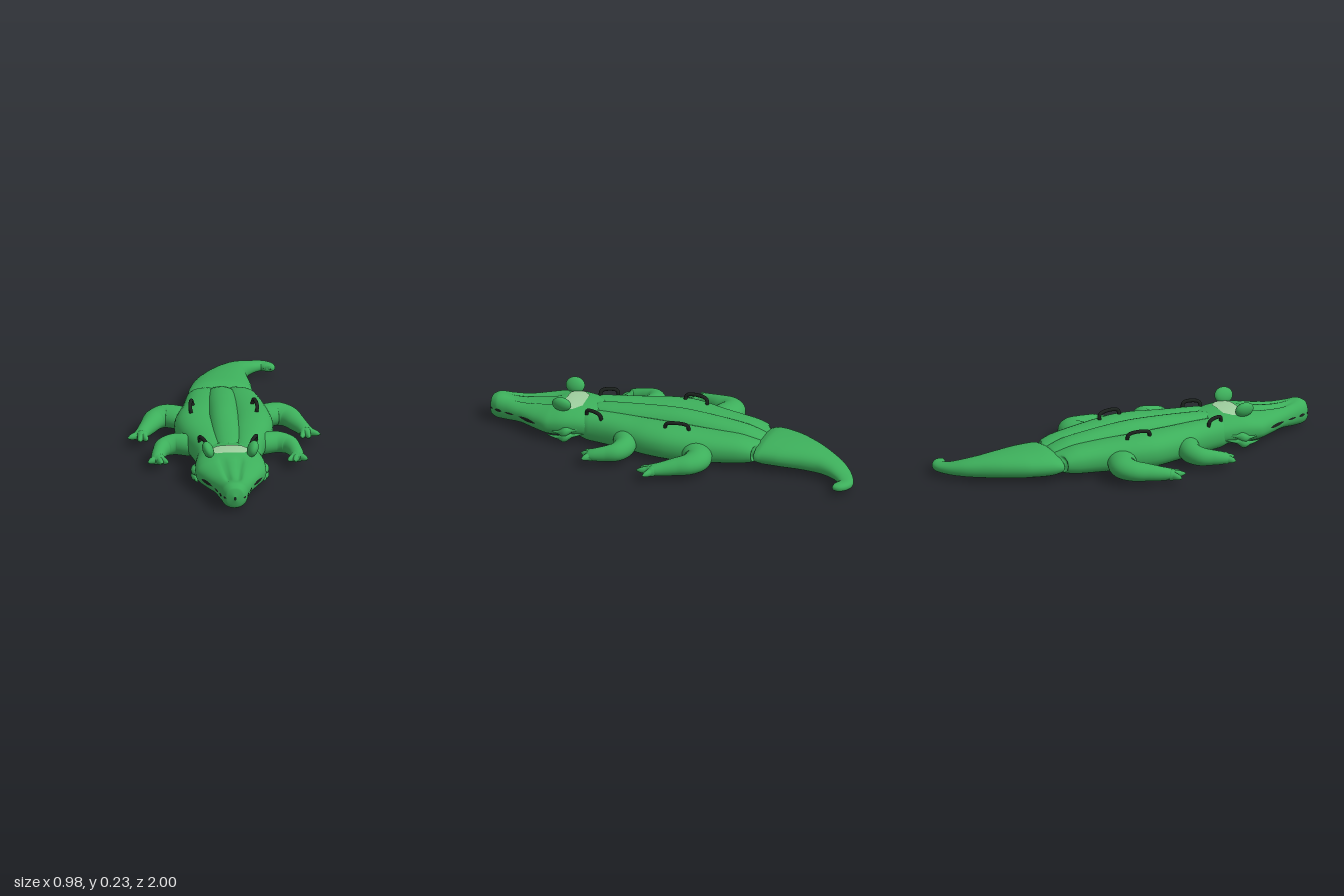
import * as THREE from 'three';

const green = new THREE.MeshStandardMaterial({ color: 0x3daf5b });
green.name = 'vinyl green';
const black = new THREE.MeshStandardMaterial({ color: 0x1b211d });
black.name = 'handle black';
const pale = new THREE.MeshStandardMaterial({ color: 0x9fcf9f });
pale.name = 'pale green';

// Inflated tube through stations [x, y, z, halfWidth, halfHeight].
// An arc and a range along the length give a thin patch over the same skin.
function inflate(stations, o = {}) {
  const { rows = 56, sides = 32, power = 1, t0 = 0, t1 = 1, arc = null, grow = 0, shape = null } = o;
  const spine = new THREE.CatmullRomCurve3(stations.map((s) => new THREE.Vector3(s[0], s[1], s[2])));
  const size = new THREE.CatmullRomCurve3(stations.map((s) => new THREE.Vector3(s[3], s[4], 0)));
  const bend = (v) => Math.sign(v) * Math.pow(Math.abs(v), power);
  const pos = [], index = [], cols = arc ? sides + 1 : sides;
  for (let i = 0; i <= rows; i++) {
    const t = t0 + (t1 - t0) * i / rows;
    const c = spine.getPoint(t), r = size.getPoint(t), d = spine.getTangent(t);
    const flat = Math.hypot(d.x, d.z) || 1;
    const rx = Math.max(r.x, 0.001) + grow, ry = Math.max(r.y, 0.001) + grow;
    const [a0, a1] = arc ? arc(i / rows) : [0, Math.PI * 2];
    for (let j = 0; j < cols; j++) {
      const a = a0 + (a1 - a0) * j / sides;
      const u = bend(Math.cos(a)) * rx;
      const p = new THREE.Vector3(c.x + u * d.z / flat, c.y + bend(Math.sin(a)) * ry, c.z - u * d.x / flat);
      if (shape) shape(p);
      pos.push(p.x, p.y, p.z);
    }
  }
  for (let i = 0; i < rows; i++) {
    for (let j = 0; j < sides; j++) {
      const k = arc ? j + 1 : (j + 1) % sides;
      const a = i * cols + j, b = i * cols + k;
      index.push(a, b, a + cols, b, b + cols, a + cols);
    }
  }
  const g = new THREE.BufferGeometry();
  g.setAttribute('position', new THREE.Float32BufferAttribute(pos, 3));
  g.setIndex(index);
  g.computeVertexNormals();
  return g;
}

export function createModel() {
  const model = new THREE.Group();
  const add = (name, geometry, material = green, parent = model) => {
    const m = new THREE.Mesh(geometry, material);
    m.name = name;
    parent.add(m);
    return m;
  };

  // Body: a raised centre chamber between two side chambers
  add('centreChamber', inflate([
    [0.01, 0.08, -0.475, 0.03, 0.02], [0.01, 0.08, -0.455, 0.07, 0.05], [0.01, 0.088, -0.36, 0.08, 0.075],
    [0.005, 0.095, -0.2, 0.085, 0.088], [0, 0.1, 0, 0.085, 0.096], [0, 0.096, 0.2, 0.085, 0.09],
    [0, 0.09, 0.36, 0.082, 0.083], [0, 0.088, 0.43, 0.07, 0.076], [0, 0.088, 0.46, 0.03, 0.04]], { power: 0.9 }));
  for (const s of [1, -1]) {
    const rim = [[-0.475, 0.14, 0.03, 0.08, 0.02], [-0.455, 0.16, 0.07, 0.08, 0.045], [-0.36, 0.185, 0.09, 0.083, 0.068],
      [-0.2, 0.215, 0.1, 0.085, 0.078], [0, 0.25, 0.11, 0.088, 0.086], [0.1, 0.24, 0.107, 0.088, 0.085],
      [0.2, 0.215, 0.098, 0.086, 0.082], [0.34, 0.18, 0.082, 0.084, 0.08], [0.44, 0.165, 0.075, 0.082, 0.076],
      [0.52, 0.14, 0.04, 0.08, 0.05]];
    add('sideChamber', inflate(rim.map(([z, edge, w, y, h]) =>
      [s * (edge - w) + (z < -0.1 ? 0.012 : 0), y, z, w, h]), { power: 0.9 }));
  }

  // Tail: wide root, curling to a rounded tip
  add('tail', inflate([
    [0.29, 0.043, -0.908, 0.002, 0.002], [0.291, 0.043, -0.917, 0.022, 0.016], [0.282, 0.043, -0.94, 0.033, 0.022],
    [0.245, 0.043, -0.963, 0.036, 0.024], [0.19, 0.048, -0.938, 0.044, 0.03], [0.135, 0.058, -0.88, 0.058, 0.042],
    [0.095, 0.066, -0.81, 0.074, 0.052], [0.062, 0.073, -0.72, 0.105, 0.061], [0.032, 0.077, -0.6, 0.145, 0.067],
    [0.015, 0.077, -0.5, 0.162, 0.066], [0.012, 0.075, -0.455, 0.163, 0.05], [0.012, 0.075, -0.435, 0.1, 0.02]],
  { rows: 80, power: 0.9 }));

  // Head: [z, half width, top, bottom], with two grooves along the snout
  const head = [[0.37, 0.1, 0.13, 0.04], [0.42, 0.155, 0.16, 0.012], [0.5, 0.168, 0.171, 0.006], [0.58, 0.178, 0.172, 0.003],
    [0.65, 0.178, 0.16, 0.003], [0.73, 0.145, 0.147, 0.01], [0.82, 0.102, 0.138, 0.018], [0.9, 0.077, 0.141, 0.012],
    [0.95, 0.066, 0.144, 0.012], [0.985, 0.045, 0.128, 0.025], [1, 0.004, 0.085, 0.07]]
    .map(([z, w, top, bottom]) => [0, (top + bottom) / 2, z, w, (top - bottom) / 2]);
  const groove = (p) => {
    if (p.y < 0.09) return;
    const along = THREE.MathUtils.smoothstep(p.z, 0.6, 0.68) * (1 - THREE.MathUtils.smoothstep(p.z, 0.84, 0.94));
    const middle = 0.045 - (p.z - 0.65) * 0.09;
    p.y -= 0.014 * along * Math.exp(-(((Math.abs(p.x) - middle) / 0.014) ** 2));
  };
  const skin = { power: 0.85, shape: groove };
  add('head', inflate(head, { ...skin, rows: 80, sides: 64 }));
  add('headPatch', inflate(head, { ...skin, rows: 12, sides: 12, t0: 0.19, t1: 0.32, grow: 0.003,
    arc: (v) => {
      const w = 0.3 + 0.27 * Math.min(1, 2.6 * Math.min(v, 1 - v));
      return [Math.PI / 2 - w, Math.PI / 2 + w];
    } }), pale);

  for (const s of [1, -1]) {
    // Broken mouth line along each side of the snout
    for (const [t0, t1, h] of [[0.48, 0.6, 0.1], [0.63, 0.7, 0.05], [0.73, 0.82, 0.08], [0.85, 0.91, 0.06]]) {
      const mid = s > 0 ? 0 : Math.PI;
      add('mouthLine', inflate(head, { ...skin, rows: 10, sides: 4, t0, t1, grow: 0.002,
        arc: (v) => [mid - h * Math.sin(Math.PI * v), mid + h * Math.sin(Math.PI * v)] }), black);
    }

    // Cheek folds at the corner of the mouth
    for (const y of [0.045, 0.075]) {
      add('cheekFold', inflate([[s * 0.15, y + 0.015, 0.45, 0.002, 0.002], [s * 0.167, y, 0.52, 0.01, 0.01],
        [s * 0.174, y - 0.014, 0.58, 0.01, 0.01], [s * 0.168, y - 0.01, 0.65, 0.002, 0.002]], { rows: 16, sides: 10 }));
    }

    // Raised eyes
    const eye = add('eye', new THREE.SphereGeometry(1, 28, 18));
    eye.scale.set(0.027, 0.042, 0.05);
    eye.position.set(s * 0.113, 0.188, 0.587);
    eye.rotation.z = -s * 0.4;

    // Legs: a bent limb and three pointed toes
    const limbs = {
      frontLeg: {
        limb: [[0.12, 0.075, 0.25, 0.05, 0.05], [0.19, 0.077, 0.225, 0.06, 0.055], [0.26, 0.077, 0.207, 0.054, 0.054],
          [0.315, 0.072, 0.232, 0.048, 0.048], [0.34, 0.065, 0.285, 0.037, 0.04], [0.352, 0.058, 0.335, 0.034, 0.033],
          [0.355, 0.054, 0.365, 0.03, 0.026], [0.355, 0.053, 0.382, 0.003, 0.003]],
        foot: [0.352, 0.055, 0.345], toes: [[0.405, 0.388], [0.335, 0.412], [0.3, 0.4]],
      },
      rearLeg: {
        limb: [[0.14, 0.075, -0.13, 0.06, 0.05], [0.22, 0.078, -0.165, 0.075, 0.057], [0.285, 0.078, -0.188, 0.07, 0.057],
          [0.335, 0.073, -0.16, 0.06, 0.052], [0.368, 0.066, -0.1, 0.048, 0.045], [0.4, 0.058, -0.035, 0.037, 0.036],
          [0.418, 0.054, 0.01, 0.034, 0.028], [0.425, 0.052, 0.032, 0.003, 0.003]],
        foot: [0.412, 0.054, -0.005], toes: [[0.488, 0.038], [0.432, 0.088], [0.388, 0.08]],
      },
    };
    for (const [name, { limb, foot, toes }] of Object.entries(limbs)) {
      const leg = new THREE.Group();
      leg.name = name;
      model.add(leg);
      add('limb', inflate(limb.map(([x, ...rest]) => [s * x, ...rest])), green, leg);
      for (const [x, z] of toes) {
        const at = (k, r) => [s * (foot[0] + (x - foot[0]) * k), foot[1] - 0.006 * k, foot[2] + (z - foot[2]) * k, r, r * 1.1];
        add('toe', inflate([at(0, 0.018), at(0.4, 0.018), at(0.75, 0.013), at(1, 0.002)], { rows: 14, sides: 12 }), green, leg);
      }
    }

    // Grab handles: two on the back, two behind the head
    for (const [x, y, z, half, turn] of [[0.157, 0.165, -0.04, 0.06, 0.12], [0.125, 0.145, 0.41, 0.045, -0.35]]) {
      const path = new THREE.CatmullRomCurve3([[-1, -0.015], [-0.95, 0.025], [-0.65, 0.036], [0.65, 0.036], [0.95, 0.025], [1, -0.015]]
        .map(([k, h]) => new THREE.Vector3(0, h, k * half)));
      const handle = add('handle', new THREE.TubeGeometry(path, 28, 0.0095, 10), black);
      handle.position.set(s * x, y, z);
      handle.rotation.set(0, s * turn, -s * 0.2);
    }
  }
  return model;
}
